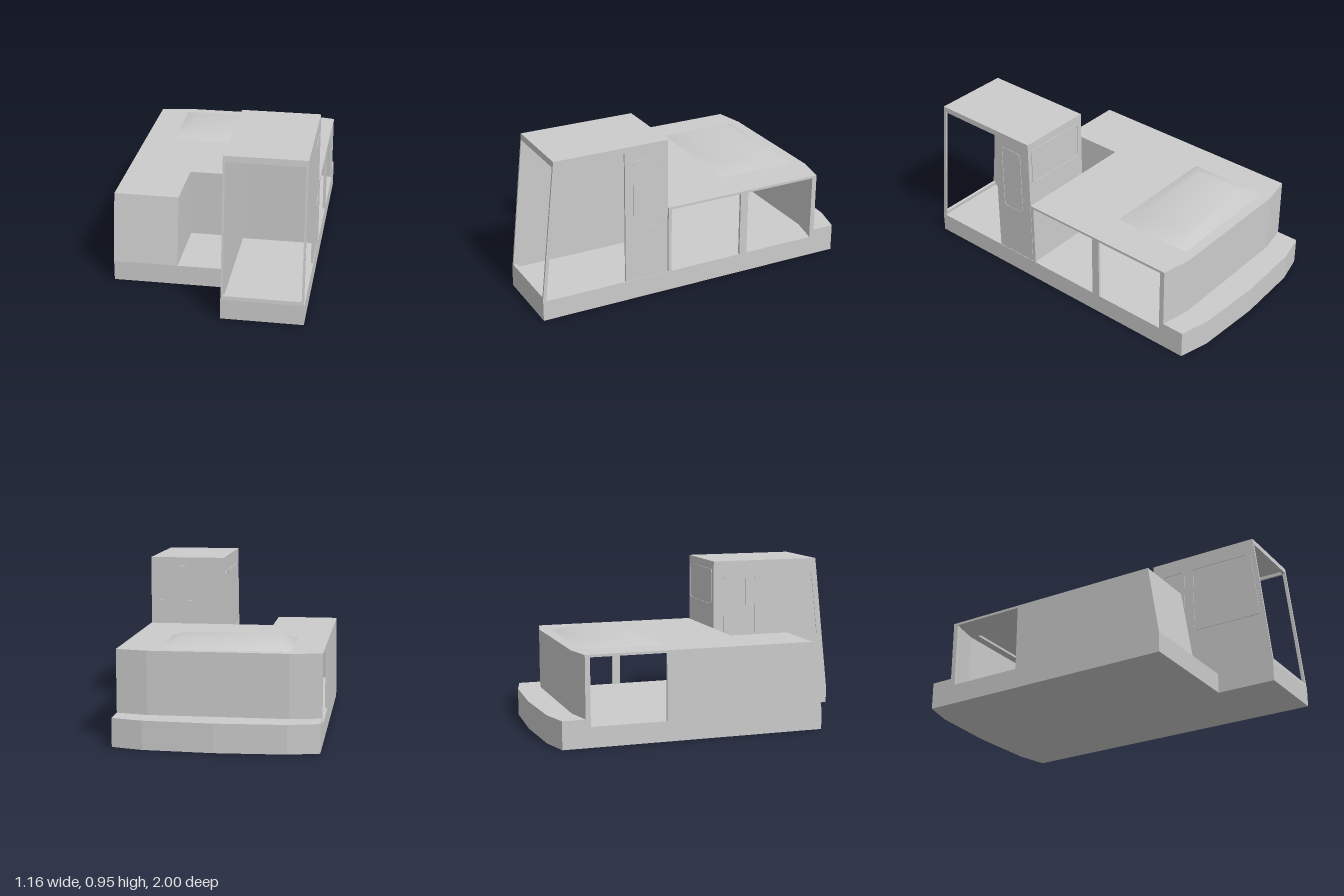
import * as THREE from 'three';

const material = new THREE.MeshStandardMaterial({ color: 0xcccccc, side: THREE.DoubleSide });

function polygon(points) {
  return new THREE.Shape(points.map(([a, b]) => new THREE.Vector2(a, b)));
}

// Closed outline with its corners rounded
function rounded(points, r, Type = THREE.Shape) {
  const path = new Type();
  const v = points.map(([a, b]) => new THREE.Vector2(a, b));
  v.forEach((p, i) => {
    const prev = v[(i + v.length - 1) % v.length], next = v[(i + 1) % v.length];
    const a = p.clone().add(prev.clone().sub(p).setLength(r));
    const b = p.clone().add(next.clone().sub(p).setLength(r));
    if (i === 0) path.moveTo(a.x, a.y);
    else path.lineTo(a.x, a.y);
    path.quadraticCurveTo(p.x, p.y, b.x, b.y);
  });
  path.closePath();
  return path;
}

// Thin outline: rounded shape with a slightly smaller hole
function ring(points, w = 0.008) {
  const shape = rounded(points, 0.03);
  const n = points.length;
  const ca = points.reduce((s, p) => s + p[0], 0) / n;
  const cb = points.reduce((s, p) => s + p[1], 0) / n;
  const inner = points.map(([a, b]) => [a - Math.sign(a - ca) * w, b - Math.sign(b - cb) * w]);
  shape.holes.push(rounded(inner, 0.026, THREE.Path));
  return shape;
}

const extrude = (shape, depth) =>
  new THREE.ExtrudeGeometry(shape, { depth, bevelEnabled: false, curveSegments: 5 });

export function createModel() {
  const group = new THREE.Group();

  function add(name, geometry) {
    const mesh = new THREE.Mesh(geometry, material);
    mesh.name = name;
    group.add(mesh);
  }
  // Plan outline [x, z] raised from y0 to y1
  function plan(name, points, y0, y1, hole) {
    const shape = polygon(points.map(([x, z]) => [x, -z]));
    if (hole) shape.holes.push(polygon(hole.map(([x, z]) => [x, -z])));
    add(name, extrude(shape, y1 - y0).rotateX(-Math.PI / 2).translate(0, y0, 0));
  }
  // Side outline [z, y] spanning x0 to x1
  function side(name, shape, x0, x1) {
    const s = Array.isArray(shape) ? polygon(shape) : shape;
    add(name, extrude(s, x1 - x0).rotateY(-Math.PI / 2).translate(x1, 0, 0));
  }
  function box(name, x0, x1, y0, y1, z0, z1) {
    add(name, new THREE.BoxGeometry(x1 - x0, y1 - y0, z1 - z0)
      .translate((x0 + x1) / 2, (y0 + y1) / 2, (z0 + z1) / 2));
  }

  const W = 0.58, FLOOR = 0.12, ROOF = 0.53, T = 0.015;
  const rearArc = [[-W, -0.935], [-0.4, -0.98], [0, -1], [0.4, -0.98], [W, -0.935]];
  const bodyArc = [[-W, -0.8], [-0.4, -0.835], [0.4, -0.835], [W, -0.8]];
  const innerArc = [[W - T, -0.775], [0.4, -0.81], [-0.4, -0.81], [-W + T, -0.775]];

  // Deck and raised rear ledge
  plan('deck', [...rearArc, [W, 1], [0.11, 1], [0.11, 0.645], [-W, 0.645]], 0, FLOOR);
  plan('rearLedge', [...rearArc, [W, -0.8], ...innerArc, [-W, -0.8]], FLOOR, 0.165);

  // Engine housing
  plan('rearWall', [...bodyArc, ...innerArc], FLOOR, ROOF);
  plan('housingRoof',
    [...bodyArc, [W, 0.21], [-0.2, 0.21], [-0.2, 0.58], [-W, 0.58]], 0.515, ROOF,
    [[-0.39, -0.76], [0.34, -0.76], [0.34, -0.29], [-0.39, -0.29]]);
  side('leftHousingWall', [
    [-0.8, FLOOR], [-0.77, FLOOR], [-0.77, 0.515], [-0.32, 0.515], [-0.32, FLOOR], [-0.27, FLOOR],
    [-0.27, 0.515], [0.19, 0.515], [0.19, FLOOR], [0.21, FLOOR], [0.21, ROOF], [-0.8, ROOF],
  ], W - T, W);
  side('rightHousingWall', [
    [-0.8, FLOOR], [-0.77, FLOOR], [-0.77, 0.515], [-0.32, 0.515], [-0.32, FLOOR],
    [0.645, FLOOR], [0.58, ROOF], [-0.8, ROOF],
  ], -W, -W + T);
  box('housingFrontWall', -0.2, W, FLOOR, ROOF, 0.195, 0.21);

  // Forward side compartment with a sloping face
  side('compartmentFront', [[0.63, FLOOR], [0.645, FLOOR], [0.58, ROOF], [0.565, ROOF]], -W, -0.2);
  side('compartmentInnerWall',
    [[0.195, FLOOR], [0.645, FLOOR], [0.58, ROOF], [0.195, ROOF]], -0.2 - T, -0.2);

  // Bulged engine cover, softly shaded
  const cover = new THREE.BufferGeometry();
  cover.setAttribute('position', new THREE.Float32BufferAttribute([
    -0.4, ROOF, -0.28, 0.35, ROOF, -0.28, 0.35, ROOF, -0.77, -0.4, ROOF, -0.77,
    -0.3, 0.572, -0.38, 0.25, 0.572, -0.38, 0.25, 0.572, -0.67, -0.3, 0.572, -0.67,
  ], 3));
  const faces = [4, 5, 6, 4, 6, 7];
  for (let i = 0; i < 4; i++) {
    const j = (i + 1) % 4;
    faces.push(i, j, j + 4, i, j + 4, i + 4);
  }
  cover.setIndex(faces);
  cover.computeVertexNormals();
  add('engineCover', cover);

  // Cab with an open front and an open doorway
  const X0 = 0.113, X1 = 0.577, BACK = 0.215, TOP = 0.95;
  const frontZ = (y) => 1 - 0.09 * (y - FLOOR) / (TOP - FLOOR);
  const band = (y0, y1, d = 0.02) =>
    [[frontZ(y0) - d, y0], [frontZ(y0), y0], [frontZ(y1), y1], [frontZ(y1) - d, y1]];
  side('cabRightWall', [[BACK, FLOOR], [1, FLOOR], [frontZ(TOP), TOP], [BACK, TOP]], X0, X0 + 0.012);
  side('cabLeftWall', [
    [BACK, FLOOR], [0.485, FLOOR], [0.485, 0.915], [frontZ(0.915) - 0.02, 0.915],
    [frontZ(FLOOR) - 0.02, FLOOR], [1, FLOOR], [frontZ(TOP), TOP], [BACK, TOP],
  ], X1 - 0.012, X1);
  box('cabRearWall', X0, X1, FLOOR, TOP, BACK, BACK + T);
  side('cabRoof', [[BACK, 0.935], [frontZ(0.935), 0.935], [frontZ(TOP), TOP], [BACK, TOP]], X0, X1);
  side('cabHeader', band(0.915, TOP), X0, X1);
  side('cabSill', band(FLOOR, 0.142), X0, X1);

  // Raised window outlines
  const narrow = [[0.28, 0.44], [0.435, 0.44], [0.435, 0.86], [0.28, 0.86]];
  const large = [[0.49, 0.44], [0.935, 0.44], [0.89, 0.86], [0.49, 0.86]];
  side('leftWindowFrame', ring(narrow), X1, X1 + 0.003);
  side('rightNarrowWindowFrame', ring(narrow), X0 - 0.004, X0);
  side('rightLargeWindowFrame', ring(large), X0 - 0.004, X0);
  add('rearWindowFrame',
    extrude(ring([[0.14, 0.67], [0.55, 0.67], [0.55, 0.9], [0.14, 0.9]]), 0.004)
      .translate(0, 0, BACK - 0.004));

  return group;
}
